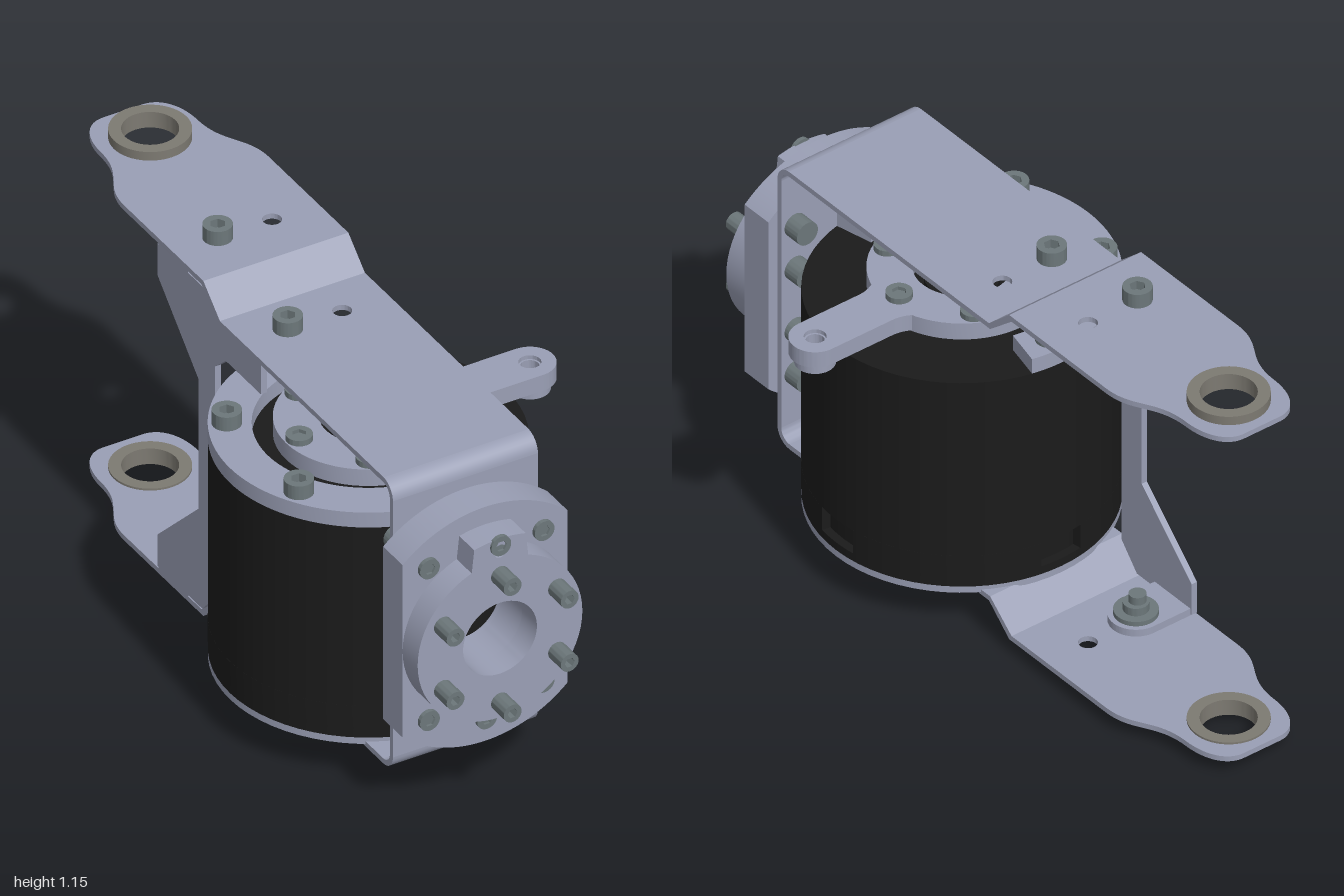
import * as THREE from 'three';
import { toCreasedNormals } from 'three/addons/utils/BufferGeometryUtils.js';

const CX = -0.07, CY = 0.575, CZ = 0.26; // bracket axis, height of mid plane, motor axis
const mat = (color) => new THREE.MeshStandardMaterial({ color });
const alloy = mat(0x9a9fb5), black = mat(0x1b1b1b), steel = mat(0x6c777a), bronze = mat(0x7d7a72);

export function createModel() {
  const model = new THREE.Group();
  const add = (name, geo, material = alloy, parent = model) => {
    const mesh = new THREE.Mesh(geo, material);
    mesh.name = name;
    parent.add(mesh);
    return mesh;
  };
  const circle = (x, y, r, C = THREE.Path) => new C().absarc(x, y, r, 0, Math.PI * 2, false);
  const poly = (pts) => new THREE.Shape(pts.map(([a, b]) => new THREE.Vector2(a, b)));
  const extrude = (shape, depth) => toCreasedNormals(
    new THREE.ExtrudeGeometry(shape, { depth, bevelEnabled: false, curveSegments: 32 }), 0.5);
  // Shape drawn in (x, -z), lying flat between y0 and y1
  const flat = (shape, y0, y1) => extrude(shape, y1 - y0).rotateX(-Math.PI / 2).translate(0, y0, 0);
  // Shape drawn in (z, y), swept between x0 and x1
  const side = (shape, x0, x1) => extrude(shape, x1 - x0).rotateY(-Math.PI / 2).translate(x1, 0, 0);
  // Shape drawn in (x, y), facing front between z0 and z1
  const front = (shape, z0, z1) => extrude(shape, z1 - z0).translate(0, 0, z0);
  const rod = (r, y0, y1, x, z, seg = 24) =>
    new THREE.CylinderGeometry(r, r, y1 - y0, seg).translate(x, (y0 + y1) / 2, z);

  // Cap screw with a hex socket, head standing on its origin along +y
  const screw = (name, x, y, z, r, h, shank, axis = 'up') => {
    const g = new THREE.Group();
    g.name = name;
    const head = circle(0, 0, r, THREE.Shape);
    head.holes.push(new THREE.Path(Array.from({ length: 6 }, (_, i) =>
      new THREE.Vector2(Math.cos(i * Math.PI / 3), Math.sin(i * Math.PI / 3)).multiplyScalar(r * 0.55))));
    add('screwHead', flat(head, 0, h), steel, g);
    add('screwCore', rod(r * 0.6, -shank, h * 0.4, 0, 0, 16), steel, g);
    if (axis === 'down') g.rotation.x = Math.PI;
    if (axis === 'front') g.rotation.x = Math.PI / 2;
    g.position.set(x, y, z);
    model.add(g);
  };

  // Motor can, with three small windows near the bottom
  add('motorCore', rod(0.395, 0.15, 0.80, CX, CZ, 64), black);
  add('motorCan', rod(0.42, 0.25, 0.815, CX, CZ, 64), black);
  add('motorCanBase', rod(0.42, 0.15, 0.175, CX, CZ, 64), black);
  const gap = 0.155;
  [[gap, Math.PI / 2 - gap], [Math.PI / 2 + gap, Math.PI * 1.5 - gap], [Math.PI * 1.5 + gap, Math.PI * 2 - gap]].forEach(([a, b]) => {
    const s = new THREE.Shape().absarc(CX, -CZ, 0.42, a, b, false);
    s.absarc(CX, -CZ, 0.39, b, a, true);
    add('motorCanWall', flat(s, 0.175, 0.25), black);
  });
  add('motorBasePlate', rod(0.42, 0.13, 0.15, CX, CZ, 64));
  for (const x of [-0.2, 0.2]) for (const z of [-0.2, 0.2])
    screw('baseScrew', CX + x, 0.13, CZ + z, 0.04, 0.042, 0, 'down');

  // Half ring on top of the can
  const ring = new THREE.Shape().absarc(CX, -CZ, 0.42, 1.35, Math.PI * 2 - 1.35, false);
  ring.absarc(CX, -CZ, 0.305, Math.PI * 2 - 1.35, 1.35, true);
  add('topHalfRing', flat(ring, 0.815, 0.862));
  for (const deg of [90, 150, 210, 270]) {
    const a = deg * Math.PI / 180;
    screw('ringScrew', CX + 0.37 * Math.cos(a), 0.862, CZ + 0.37 * Math.sin(a), 0.04, 0.043, 0.02);
  }

  // Rotor hub and its stop arm
  const hub = circle(CX, -CZ, 0.25, THREE.Shape);
  hub.holes.push(circle(CX, -CZ, 0.13));
  add('rotorHub', flat(hub, 0.83, 0.882));
  add('rotorBoss', rod(0.1, 0.8, 0.85, CX, CZ, 32), black);
  for (let i = 0; i < 6; i++) {
    const a = i * Math.PI / 3;
    screw('hubScrew', CX + 0.21 * Math.cos(a), 0.882, CZ + 0.21 * Math.sin(a), 0.036, 0.017, 0.02);
  }
  const arm = new THREE.Shape();
  arm.moveTo(0.12, -CZ - 0.13);
  arm.quadraticCurveTo(0.16, -CZ - 0.07, 0.22, -CZ - 0.07);
  arm.lineTo(0.42, -CZ - 0.07);
  arm.absarc(0.42, -CZ, 0.07, -Math.PI / 2, Math.PI / 2, false);
  arm.lineTo(0.22, -CZ + 0.07);
  arm.quadraticCurveTo(0.16, -CZ + 0.07, 0.12, -CZ + 0.13);
  arm.holes.push(circle(0.42, -CZ, 0.03));
  add('stopArm', flat(arm, 0.832, 0.882));
  const bush = circle(0.42, -CZ, 0.055, THREE.Shape);
  bush.holes.push(circle(0.42, -CZ, 0.025));
  add('stopArmBush', flat(bush, 0.80, 0.87));

  // Front wall of the bracket
  const xl = -0.29, xr = 0.15;
  const wall = poly([[xl, 0.17], [xr, 0.17], [xr, 0.98], [xl, 0.98]]);
  wall.holes.push(circle(CX, CY, 0.112));
  add('bracketFront', front(wall, 0.742, 0.758));

  // Upper and lower arms of the bracket
  for (const top of [true, false]) {
    const Y = (y) => (top ? y : 2 * CY - y);
    const slab = (name, shape, a, b, m) => add(name, flat(shape, Math.min(Y(a), Y(b)), Math.max(Y(a), Y(b))), m);
    const bend = [];
    for (const r of [0.05, 0.034]) {
      const part = [];
      for (let i = 0; i <= 8; i++) {
        const a = i * Math.PI / 16;
        part.push([0.708 + r * Math.sin(a), Y(0.978 + r * Math.cos(a))]);
      }
      bend.push(...(r === 0.05 ? part : part.reverse()));
    }
    add('bracketBend', side(poly(bend), xl, xr));

    const plate = poly([[xl, -0.71], [xr, -0.71], [xr, 0.135], [xl, 0.135]]);
    if (top) plate.holes.push(circle(0.01, 0.01, 0.026));
    slab('bracketPlate', plate, 1.012, 1.028);
    add('bracketStep', side(poly([[-0.13, Y(1.028)], [-0.135, Y(1.012)], [-0.225, Y(1.089)], [-0.215, Y(1.105)]]), xl, xr));

    const tip = new THREE.Shape();
    tip.moveTo(xl, 0.215);
    tip.lineTo(xr, 0.215);
    tip.lineTo(xr, 0.62);
    tip.bezierCurveTo(xr, 0.73, 0.08, 0.74, 0.077, 0.86);
    tip.bezierCurveTo(0.077, 0.95, 0.04, 1, -0.01, 1);
    tip.lineTo(-0.13, 1);
    tip.bezierCurveTo(-0.18, 1, -0.217, 0.95, -0.217, 0.86);
    tip.bezierCurveTo(-0.22, 0.74, xl, 0.73, xl, 0.62);
    tip.holes.push(circle(CX, 0.86, 0.085), circle(0.01, 0.37, 0.026));
    slab('bracketArm', tip, 1.089, 1.105);

    const eye = circle(CX, 0.86, 0.11, THREE.Shape);
    eye.holes.push(circle(CX, 0.86, 0.076));
    slab('pivotBushing', eye, 1.083, 1.132, bronze);

    // Fold-over tabs of the brace, screwed to the arms
    for (const [z, y] of top ? [[-0.37, 1.089], [-0.01, 1.012]] : [[-0.37, 1.089]]) {
      const tab = new THREE.Shape();
      tab.moveTo(xl, -z - 0.075);
      tab.lineTo(-0.15, -z - 0.075);
      tab.absarc(-0.15, -z, 0.075, -Math.PI / 2, Math.PI / 2, false);
      tab.lineTo(xl, -z + 0.075);
      slab('braceTab', tab, y - 0.022, y);
      slab('braceWasher', circle(-0.15, -z, 0.06, THREE.Shape), y - 0.036, y - 0.022, steel);
      slab('braceNut', circle(-0.15, -z, 0.035, THREE.Shape), y - 0.06, y - 0.036, steel);
      screw('braceScrew', -0.155, Y(y + 0.016), z, 0.04, 0.044, 0.1, top ? 'up' : 'down');
    }
  }

  // Side brace joining the arms behind the motor
  add('sideBrace', side(poly([
    [-0.24, 0.37], [-0.24, 0.78], [-0.45, 0.985], [-0.45, 1.085], [-0.22, 1.085], [-0.135, 1.012],
    [0.08, 1.012], [0.08, 0.92], [-0.1, 0.92], [-0.155, 0.87], [-0.155, 0.14], [-0.22, 0.065],
    [-0.45, 0.065], [-0.45, 0.165]]), xl, xl + 0.018));

  // Front flange: a disc trimmed on both sides, with a round output disc
  const trim = Math.acos(0.25 / 0.37);
  const flange = new THREE.Shape().absarc(CX, CY, 0.37, trim, Math.PI - trim, false);
  flange.absarc(CX, CY, 0.37, Math.PI + trim, Math.PI * 2 - trim, false);
  flange.holes.push(circle(CX, CY, 0.112));
  add('frontFlange', front(flange, 0.758, 0.858));
  const disc = circle(CX, CY, 0.25, THREE.Shape);
  disc.holes.push(circle(CX, CY, 0.112));
  add('outputDisc', front(disc, 0.858, 0.935));
  const lug = new THREE.Shape().absarc(CX, CY, 0.315, 1.32, Math.PI - 1.32, false);
  lug.absarc(CX, CY, 0.24, Math.PI - 1.2, 1.2, true);
  lug.holes.push(circle(CX, CY + 0.295 - 0.02, 0.02));
  add('outputLug', front(lug, 0.858, 0.935));

  // Flange hardware
  for (let i = 0; i < 6; i++) {
    const a = Math.PI / 2 + i * Math.PI / 3;
    screw('outputScrew', CX + 0.2 * Math.cos(a), CY + 0.2 * Math.sin(a), 0.935, 0.027, 0.065, 0, 'front');
  }
  for (const [x, y] of [[-0.174, 0.24], [0.174, 0.24], [0.174, -0.24], [-0.174, -0.24], [0, 0.295], [0, -0.295]]) {
    const z = y === 0.295 ? 0.93 : 0.858;
    screw('flangeScrew', CX + x, CY + y, z, 0.03, 0.012, 0.03, 'front');
    add('flangeNut', front(circle(CX + x, CY + y, 0.035, THREE.Shape), 0.69, 0.742), steel);
  }
  for (const x of [-0.174, 0.174]) for (const y of [-0.1, 0.1])
    add('innerNut', front(circle(CX + x, CY + y, 0.035, THREE.Shape), 0.69, 0.742), steel);
  return model;
}
